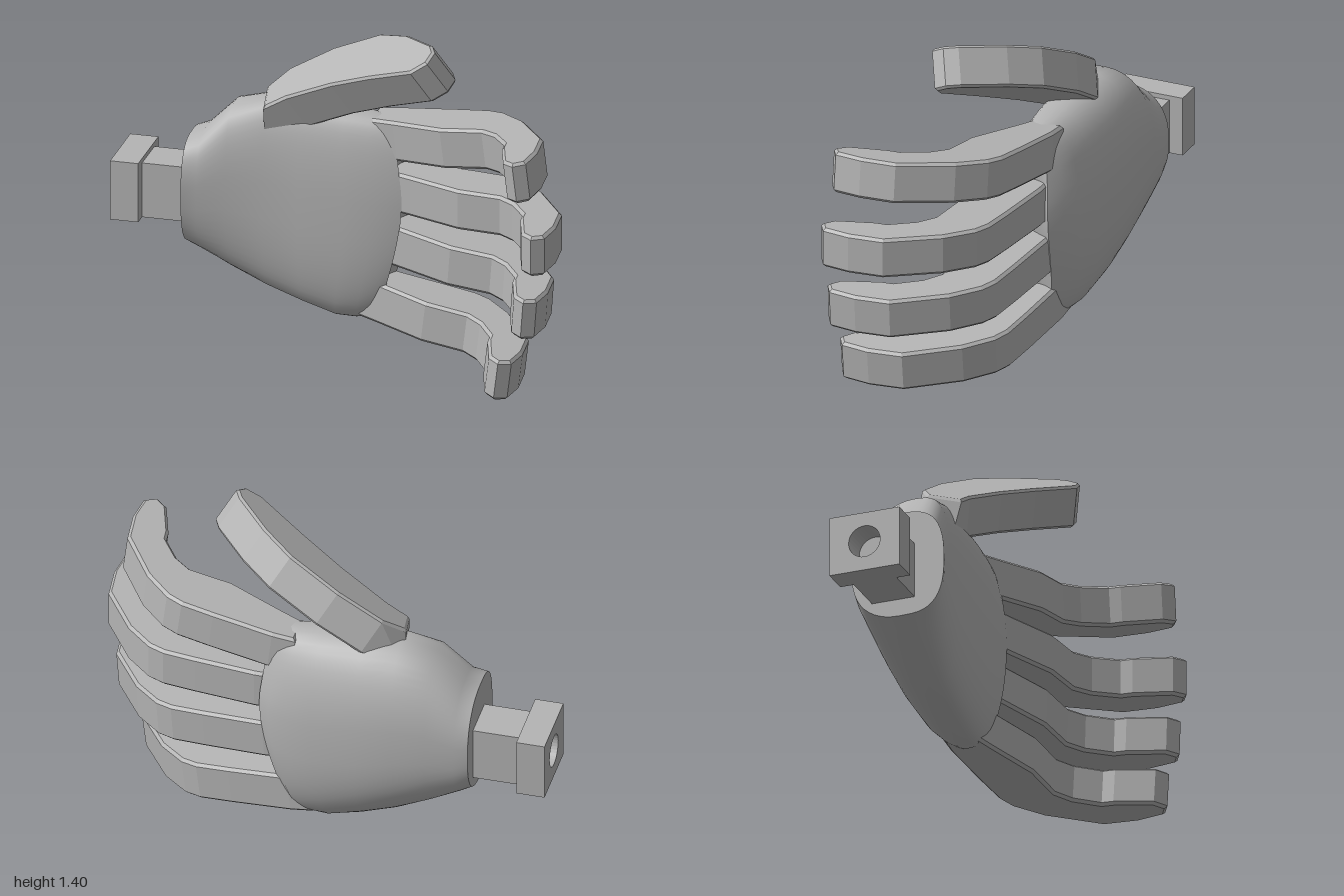
import * as THREE from 'three';

const grey = new THREE.MeshStandardMaterial({ color: 0xb4b4b4 });
grey.name = 'grey';

// Side outline (x along the digit, z depth) given width along y, chamfered edges
function digit(name, outline, width, chamfer, [x, y, z], slant) {
  const shape = new THREE.Shape(outline.map(([u, v]) => new THREE.Vector2(u, v)));
  const depth = width - 2 * chamfer;
  const geo = new THREE.ExtrudeGeometry(shape, {
    depth, bevelEnabled: true, bevelSegments: 1,
    bevelSize: chamfer, bevelThickness: chamfer, bevelOffset: -chamfer,
  });
  geo.translate(0, 0, -depth / 2).rotateX(Math.PI / 2);
  const mesh = new THREE.Mesh(geo, grey);
  mesh.name = name;
  mesh.position.set(x, y, z);
  mesh.rotation.z = slant;
  return mesh;
}

const spow = (v, p) => Math.sign(v) * Math.pow(Math.abs(v), p);

// Palm: rounded sections lofted along x, domed at the back, flatter in front
function palmGeometry() {
  const sections = [ // x, bottom, top, back, front
    [-0.68, 0.355, 0.82, -0.41, 0],
    [-0.62, 0.32, 0.845, -0.42, -0.02],
    [-0.5, 0.25, 0.965, -0.43, -0.04],
    [-0.35, 0.175, 1.005, -0.43, -0.06],
    [-0.2, 0.12, 1.0, -0.425, -0.06],
    [0, 0.075, 0.985, -0.40, -0.06],
    [0.12, 0.072, 0.975, -0.37, -0.07],
    [0.19, 0.08, 0.965, -0.33, -0.08],
    [0.24, 0.11, 0.95, -0.28, -0.09],
  ];
  const N = 48, zm = -0.2, pos = [], idx = [];
  for (const [x, y0, y1, zb, zf] of sections) {
    for (let j = 0; j < N; j++) {
      const a = (j / N) * Math.PI * 2, s = Math.sin(a);
      const y = (y0 + y1) / 2 + ((y1 - y0) / 2) * spow(Math.cos(a), 0.8);
      const z = s > 0 ? zm + (zf - zm) * spow(s, 0.6) : zm + (zm - zb) * spow(s, 0.9);
      // the knuckle line slopes back toward the smallest finger
      const t = Math.max(0, (x + 0.2) / 0.44);
      const low = Math.max(0, (0.6 - y) / 0.5), high = Math.max(0, (y - 0.65) / 0.3);
      pos.push(x - t * (0.12 * Math.pow(low, 1.5) + 0.04 * high), y, z);
    }
  }
  const last = sections.length - 1;
  for (let i = 0; i < last; i++) {
    for (let j = 0; j < N; j++) {
      const a = i * N + j, b = i * N + (j + 1) % N;
      idx.push(a, b, a + N, b, b + N, a + N);
    }
  }
  // Separate end caps keep hard rims
  for (const [ring, flip] of [[0, true], [last, false]]) {
    const start = pos.length / 3;
    const rim = pos.slice(ring * N * 3, (ring + 1) * N * 3);
    const c = [0, 0, 0];
    rim.forEach((v, k) => { c[k % 3] += v / N; });
    pos.push(...rim, ...c);
    for (let j = 0; j < N; j++) {
      const a = start + j, b = start + (j + 1) % N;
      idx.push(start + N, flip ? b : a, flip ? a : b);
    }
  }
  const geo = new THREE.BufferGeometry();
  geo.setAttribute('position', new THREE.Float32BufferAttribute(pos, 3));
  geo.setIndex(idx);
  geo.computeVertexNormals();
  return geo;
}

// Thumb: angled upward, curving forward, turned a little about its own length
function makeThumb() {
  const outline = [
    [-0.06, -0.23], [0.1, -0.29], [0.32, -0.29], [0.56, -0.23], [0.7, -0.13],
    [0.84, 0.03], [0.86, 0.09], [0.83, 0.15], [0.75, 0.165], [0.53, 0.06],
    [0.33, -0.02], [0.1, -0.08], [-0.06, -0.08],
  ];
  const thumb = digit('thumb', outline, 0.175, 0.01, [-0.3, 0.945, 0], 0.53);
  const p = thumb.geometry.attributes.position;
  // slant the root so that it sinks into the palm
  for (let i = 0; i < p.count; i++) {
    if (p.getX(i) < 0.05) p.setX(i, p.getX(i) + 0.6 * p.getY(i));
  }
  thumb.geometry.translate(0, 0, 0.12).rotateX(0.3).translate(0, 0, -0.12);
  thumb.geometry.computeVertexNormals();
  return thumb;
}

export function createModel() {
  const group = new THREE.Group();
  const add = (name, geo) => {
    const mesh = new THREE.Mesh(geo, grey);
    mesh.name = name;
    group.add(mesh);
    return mesh;
  };

  add('palm', palmGeometry());

  // Wrist stem and drilled end block
  add('wristStem', new THREE.BoxGeometry(0.24, 0.24, 0.19)).position.set(-0.76, 0.55, -0.225);
  const block = new THREE.Shape([[-0.155, -0.13], [0.155, -0.13], [0.155, 0.13], [-0.155, 0.13]]
    .map(([a, b]) => new THREE.Vector2(a, b)));
  const hole = new THREE.Path();
  hole.absarc(0, 0, 0.07, 0, Math.PI * 2, true);
  block.holes.push(hole);
  const blockGeo = new THREE.ExtrudeGeometry(block, { depth: 0.12, bevelEnabled: false, curveSegments: 16 });
  blockGeo.rotateY(Math.PI / 2);
  add('wristBlock', blockGeo).position.set(-1, 0.56, -0.225);

  // Four curled fingers sharing one outline
  const finger = [
    [-0.06, -0.27], [0.04, -0.27], [0.3, -0.24], [0.44, -0.22], [0.51, -0.19], [0.62, -0.09],
    [0.76, 0.12], [0.775, 0.27], [0.76, 0.39], [0.71, 0.42], [0.66, 0.38],
    [0.61, 0.22], [0.605, 0.17], [0.535, 0.07], [0.465, 0.02], [0.28, 0], [0.05, -0.09], [-0.06, -0.13],
  ];
  for (const [name, position, slant] of [
    ['indexFinger', [0.155, 0.885, -0.012], 0.122],
    ['middleFinger', [0.225, 0.663, 0.007], 0],
    ['ringFinger', [0.185, 0.425, -0.005], -0.072],
    ['littleFinger', [0.075, 0.175, -0.012], -0.12],
  ]) group.add(digit(name, finger, 0.175, 0.012, position, slant));

  group.add(makeThumb());
  return group;
}
